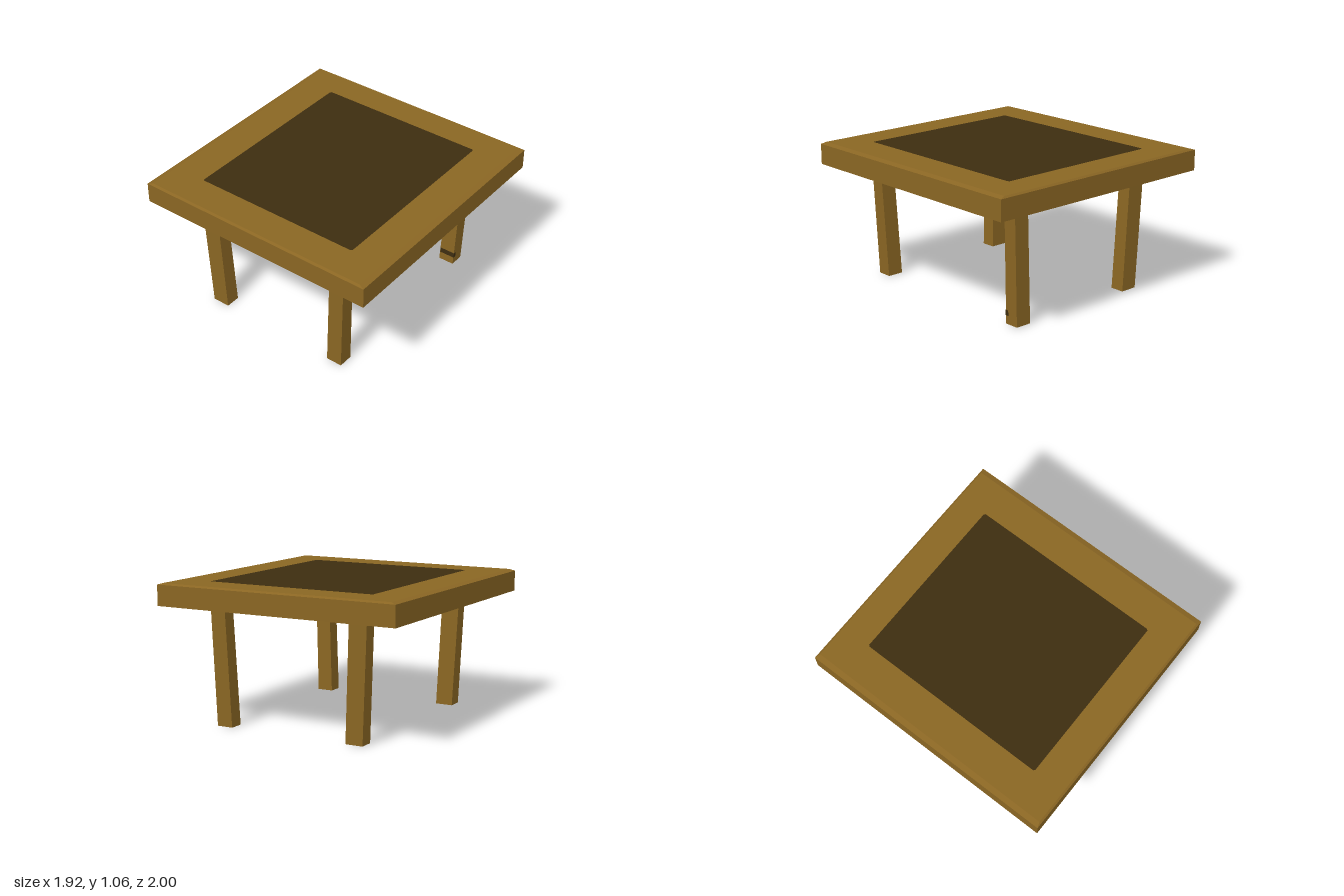
import * as THREE from 'three';

const wood = new THREE.MeshStandardMaterial({ color: 0x8a6623 });
wood.name = 'brown wood';
const dark = new THREE.MeshStandardMaterial({ color: 0x3d2d10 });
dark.name = 'dark wood';

// Box whose lower and upper rectangles are given as [x0, x1, z0, z1]
function prism(name, material, y0, lower, y1, upper) {
  const geometry = new THREE.BoxGeometry(1, 1, 1).toNonIndexed();
  const p = geometry.attributes.position;
  for (let i = 0; i < p.count; i++) {
    const up = p.getY(i) > 0;
    const r = up ? upper : lower;
    p.setXYZ(i, r[p.getX(i) > 0 ? 1 : 0], up ? y1 : y0, r[p.getZ(i) > 0 ? 3 : 2]);
  }
  geometry.computeVertexNormals();
  const mesh = new THREE.Mesh(geometry, material);
  mesh.name = name;
  return mesh;
}

export function createModel() {
  const table = new THREE.Group();
  table.name = 'table';

  // Thick slab with a shallow bevel round its upper edge
  const slab = [-0.96, 0.96, -1, 1];
  table.add(prism('tabletop', wood, 0.888, slab, 1.043, slab));
  table.add(prism('tabletopBevel', wood, 1.043, slab, 1.055, [-0.92, 0.92, -0.985, 0.985]));

  // Dark inlay with slightly clipped corners
  const x0 = -0.66, x1 = 0.67, z0 = -0.755, z1 = 0.74, c = 0.01;
  const outline = new THREE.Shape([
    [x0 + c, -z1], [x1 - c, -z1], [x1, -z1 + c], [x1, -z0 - c],
    [x1 - c, -z0], [x0 + c, -z0], [x0, -z0 - c], [x0, -z1 + c],
  ].map(([x, y]) => new THREE.Vector2(x, y)));
  const inlay = new THREE.Mesh(new THREE.ShapeGeometry(outline), dark);
  inlay.name = 'tabletopInlay';
  inlay.rotation.x = -Math.PI / 2;
  inlay.position.y = 1.057;
  table.add(inlay);

  // Four legs, leaning outward towards the top
  const sidesX = { Right: [[-0.595, -0.46], [-0.635, -0.495]], Left: [[0.485, 0.61], [0.525, 0.645]] };
  const sidesZ = { front: [[0.667, 0.78], [0.69, 0.795]], back: [[-0.775, -0.665], [-0.79, -0.685]] };
  for (const [side, [xLow, xHigh]] of Object.entries(sidesX)) {
    for (const [end, [zLow, zHigh]] of Object.entries(sidesZ)) {
      table.add(prism(`${end}${side}Leg`, wood, 0, [...xLow, ...zLow], 0.89, [...xHigh, ...zHigh]));
    }
  }

  // Dark mark across the inner face of one back leg
  table.add(prism('legMark', dark, 0.065, [0.491, 0.615, -0.69, -0.664], 0.105, [0.493, 0.617, -0.69, -0.665]));

  return table;
}
